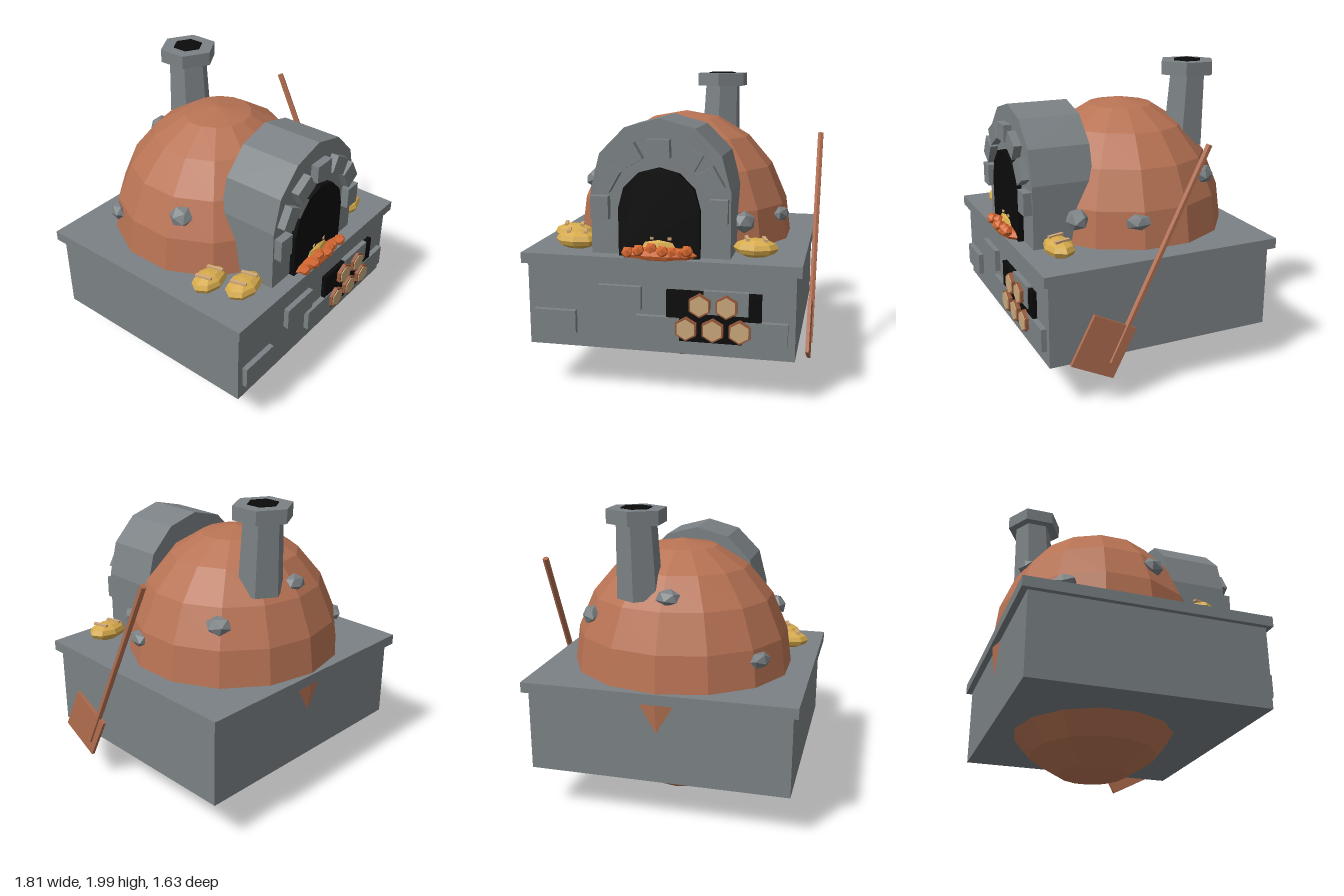
import * as THREE from 'three';

const mat = (name, color) => {
  const m = new THREE.MeshStandardMaterial({ color, flatShading: true });
  m.name = name;
  return m;
};

export function createModel() {
  const stone = mat('stone', 0x7b8184);
  const clay = mat('clay', 0xb87354);
  const wood = mat('wood', 0xb06c4e);
  const bark = mat('bark', 0x96583a);
  const cutWood = mat('cutWood', 0xcaa67a);
  const soot = mat('soot', 0x0b0b0b);
  const crust = mat('crust', 0xd6ab4c);
  const score = mat('score', 0xd2a878);
  const ember = mat('ember', 0xd3652f);

  const model = new THREE.Group();
  model.name = 'breadOven';
  const cx = -0.027; // centre line of the oven

  const add = (name, geo, material, x, y, z, parent = model) => {
    const m = new THREE.Mesh(geo, material);
    m.name = name;
    m.position.set(x, y, z);
    parent.add(m);
    return m;
  };
  const box = (w, h, d) => new THREE.BoxGeometry(w, h, d);

  // Plinth and worktop
  add('plinth', box(1.69, 0.535, 1.52), stone, cx, 0.578, -0.02);
  add('worktop', box(1.757, 0.068, 1.595), stone, cx, 0.879, -0.023);

  // Clay dome, a full ellipsoid passing through the plinth
  const dome = add('dome', new THREE.SphereGeometry(1, 14, 10).rotateY(Math.PI / 2), clay, cx, 0.88, -0.11);
  dome.scale.set(0.741, 0.87, 0.7);

  // Arched outline: straight jambs and a six-sided half round
  const archGeometry = (r, bottom, spring, depth) => {
    const s = new THREE.Shape();
    s.moveTo(-r, bottom);
    s.lineTo(r, bottom);
    for (let i = 0; i <= 6; i++) {
      const a = (i * Math.PI) / 6;
      s.lineTo(r * Math.cos(a), spring + r * Math.sin(a));
    }
    return new THREE.ExtrudeGeometry(s, { depth, bevelEnabled: false });
  };
  add('archway', archGeometry(0.438, 0.905, 1.32, 0.405), stone, cx, 0, 0.275);
  add('ovenMouth', archGeometry(0.254, 0.91, 1.21, 0.1), soot, cx, 0, 0.617);

  // Arch stones
  for (let i = 0; i <= 6; i++) {
    const a = (i * Math.PI) / 6;
    const s = add('archStone', box(0.145, 0.112, 0.06), stone,
      cx + 0.37 * Math.cos(a), 1.21 + 0.37 * Math.sin(a), 0.703);
    s.rotation.z = a - Math.PI / 2;
  }

  // Chimney, leaning slightly, with cap and flue
  const shaft = add('chimneyShaft', new THREE.CylinderGeometry(0.128, 0.147, 0.48, 6), stone, 0.153, 1.68, -0.514);
  shaft.rotation.set(-0.045, 0, -0.02);
  add('chimneyCap', new THREE.CylinderGeometry(0.19, 0.19, 0.088, 6), stone, 0.157, 1.95, -0.52);
  add('flue', new THREE.CylinderGeometry(0.1, 0.1, 0.009, 6), soot, 0.157, 1.9955, -0.52);

  // Field stones set in the dome: position, then width, height and thickness
  const rocks = [
    [-0.62, 1.08, -0.495, 0.085, 0.055, 0.05],
    [0.49, 1.295, -0.48, 0.085, 0.065, 0.05],
    [-0.06, 1.47, -0.61, 0.08, 0.06, 0.045],
    [-0.635, 1.295, 0.095, 0.08, 0.072, 0.05],
    [0.66, 1.09, 0.08, 0.09, 0.052, 0.045],
    [0.455, 1.09, 0.405, 0.08, 0.072, 0.055],
  ];
  rocks.forEach(([x, y, z, w, h, t], i) => {
    const r = add('domeStone', new THREE.IcosahedronGeometry(1, 0).rotateZ(i * 0.7), stone, x, y, z);
    r.scale.set(w, h, t);
    r.lookAt(x * 2 - cx, y * 2 - 0.88, z * 2 + 0.11);
  });

  // Loaves with two score marks each
  const loaf = (x, y, z, w, d) => {
    const g = new THREE.Group();
    g.name = 'loaf';
    g.position.set(x, y, z);
    model.add(g);
    const body = add('loafBody', new THREE.SphereGeometry(1, 8, 6), crust, 0, 0, 0, g);
    body.scale.set(w / 2, 0.06, d / 2);
    for (const s of [-1, 1]) {
      const cut = add('scoreMark', box(0.022, 0.015, 0.105), score, s * 0.055, 0.056, 0, g);
      cut.rotation.y = 0.27;
    }
  };
  loaf(-0.6, 0.967, 0.565, 0.29, 0.19);
  loaf(-0.69, 0.967, 0.365, 0.27, 0.18);
  loaf(0.55, 0.967, 0.565, 0.28, 0.19);
  loaf(cx, 0.977, 0.672, 0.28, 0.15);

  // Embers spilling from the mouth
  add('emberBed', new THREE.SphereGeometry(1, 10, 6), ember, cx, 0.935, 0.72).scale.set(0.24, 0.048, 0.075);
  const coals = [[-0.215, 0.945, 0.755], [-0.14, 0.965, 0.775], [-0.065, 0.975, 0.755],
    [0.01, 0.965, 0.775], [0.06, 0.955, 0.755], [0.11, 0.95, 0.745], [0.16, 0.972, 0.77]];
  for (const [x, y, z] of coals) add('coal', new THREE.IcosahedronGeometry(0.04, 0), ember, x, y, z);

  // Front bricks and the dark log store
  const bricks = [[-0.267, 0.66], [0.4, 0.66], [-0.693, 0.478], [-0.027, 0.478], [0.637, 0.478]];
  for (const [x, y] of bricks) add('frontBrick', box(0.275, 0.147, 0.05), stone, x, y, 0.75);
  add('logStore', box(0.585, 0.32, 0.05), soot, 0.322, 0.564, 0.744);

  // Stacked logs
  const logs = [[0.24, 0.643], [0.405, 0.643], [0.155, 0.49], [0.321, 0.49], [0.487, 0.49]];
  for (const [x, y] of logs) {
    add('log', new THREE.CylinderGeometry(0.075, 0.075, 0.2, 6).rotateX(Math.PI / 2), bark, x, y, 0.695);
    add('logEnd', new THREE.CylinderGeometry(0.063, 0.063, 0.008, 6).rotateX(Math.PI / 2), cutWood, x, y, 0.797);
  }

  // Bread peel leaning on the side
  const peel = new THREE.Group();
  peel.name = 'peel';
  peel.position.set(0.883, 0.418, 0.418);
  peel.rotation.x = -0.475;
  model.add(peel);
  add('peelBlade', box(0.022, 0.34, 0.308), wood, 0, 0, 0, peel);
  const handle = add('peelHandle', new THREE.CylinderGeometry(0.021, 0.021, 1.44, 6), wood, 0.002, 0.64, -0.084, peel);
  handle.rotation.x = 0.018;

  return model;
}
